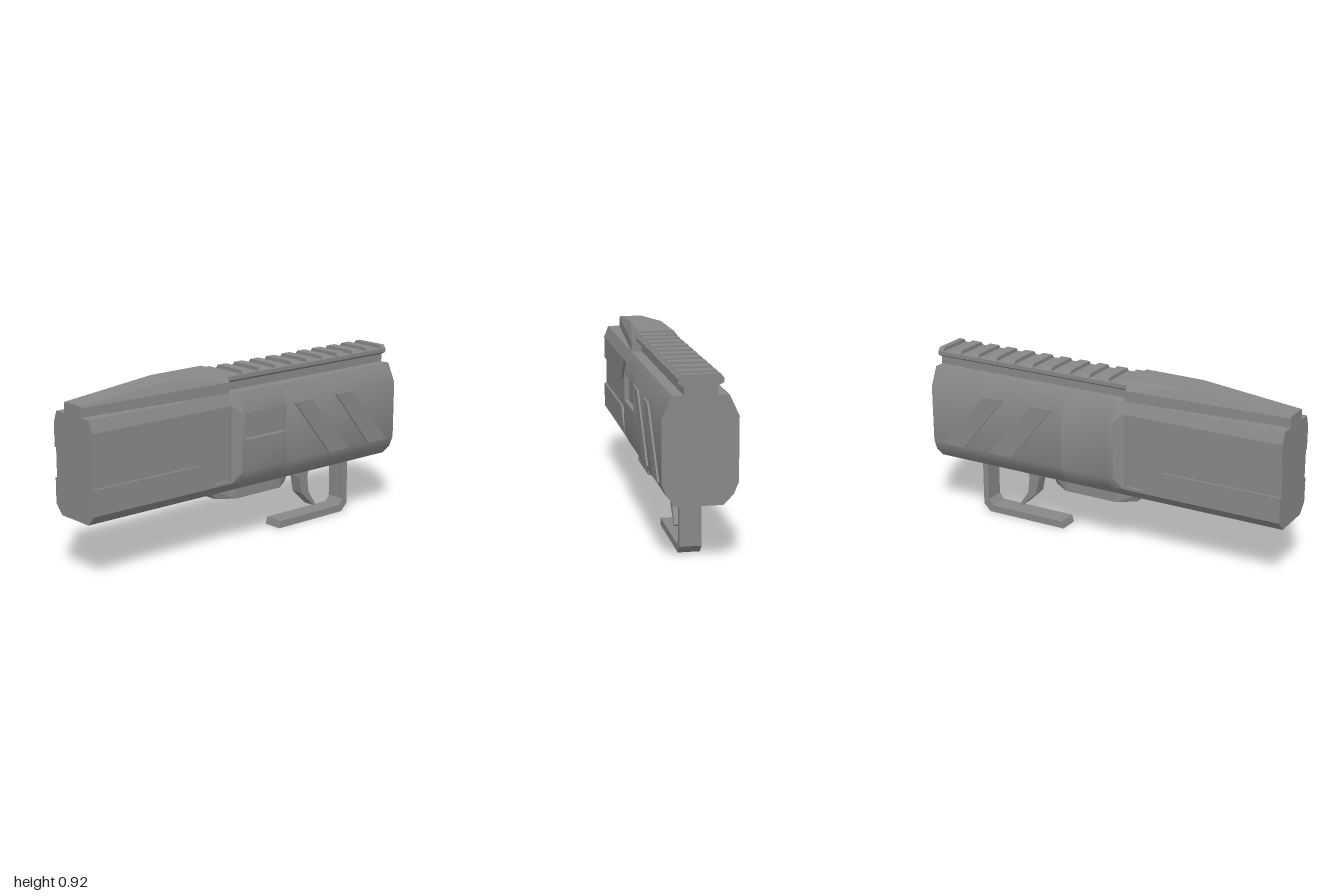
import * as THREE from 'three';
import { toCreasedNormals } from 'three/addons/utils/BufferGeometryUtils.js';
import { ConvexGeometry } from 'three/addons/geometries/ConvexGeometry.js';

const polygon = pts => new THREE.Shape(pts.map(([x, y]) => new THREE.Vector2(x, y)));

// Extrude a side outline (x, y) between two z values
function slab(pts, z0, z1) {
  return new THREE.ExtrudeGeometry(polygon(pts), { depth: z1 - z0, bevelEnabled: false }).translate(0, 0, z0);
}

// Extrude a cross-section (z, y) between two x values
function bar(pts, x0, x1) {
  const shape = polygon(pts.map(([z, y]) => [-z, y]));
  const geo = new THREE.ExtrudeGeometry(shape, { depth: x1 - x0, bevelEnabled: false });
  return geo.rotateY(Math.PI / 2).translate(x0, 0, 0);
}

// Complete a half section by mirroring it across z
const mirror = half => [...half, ...half.map(([z, y]) => [-z, y]).reverse()];

// Convex solid through several cross-sections [x, section]
function hull(stations) {
  return new ConvexGeometry(stations.flatMap(([x, s]) => s.map(([z, y]) => new THREE.Vector3(x, y, z))));
}

export function createModel() {
  const model = new THREE.Group();
  model.name = 'blaster';
  const grey = new THREE.MeshStandardMaterial({ color: 0x88888a });
  grey.name = 'gunmetal grey';
  const add = (name, geo, parent = model) => {
    const mesh = new THREE.Mesh(geo, grey);
    mesh.name = name;
    parent.add(mesh);
    return mesh;
  };

  // Rear receiver: three lengths, the middle one notched for the ejection port
  const rearHalf = [[0.107, 0.3], [0.155, 0.35], [0.177, 0.405], [0.177, 0.71], [0.13, 0.81]];
  const rear = mirror(rearHalf);
  const notched = [...rear];
  notched.splice(3, 0, [0.177, 0.57], [0.155, 0.57], [0.155, 0.705], [0.177, 0.705]);
  [[rear, -0.1, -0.08], [notched, -0.08, 0.2], [rear, 0.2, 1]].forEach(([s, a, b], i) =>
    add(['receiverFront', 'ejectionPort', 'receiverRear'][i], toCreasedNormals(bar(s, a, b), 0.7)));

  // Fore body core, with side plates around the recessed channel
  const foreHalf = [[0.107, 0.3], [0.153, 0.35], [0.153, 0.75], [0.13, 0.81]];
  const coreHalf = [[0.107, 0.3], [0.153, 0.35], [0.141, 0.35], [0.141, 0.75], [0.153, 0.75], [0.13, 0.81]];
  add('foreBody', bar(mirror(coreHalf), -1, -0.15));
  const plate = [[-1, 0.35], [-0.15, 0.35], [-0.15, 0.75], [-1, 0.75], [-1, 0.63], [-0.36, 0.63],
    [-0.26, 0.742], [-0.163, 0.742], [-0.163, 0.365], [-0.26, 0.365], [-0.36, 0.48], [-1, 0.48]];
  add('sidePlateLeft', slab(plate, 0.141, 0.153));
  add('sidePlateRight', slab(plate, -0.153, -0.141));
  add('collar', hull([[-0.15, mirror(foreHalf)], [-0.1, rear]]));

  // Tapered top cover
  add('topCover', hull([
    [-1, mirror([[0.065, 0.81], [0.065, 0.855], [0.06, 0.865]])],
    [-0.47, mirror([[0.105, 0.81], [0.105, 0.863], [0.081, 0.915]])],
    [-0.145, mirror([[0.13, 0.81], [0.13, 0.865], [0.09, 0.915]])],
  ]));

  // Accessory rail with evenly spaced teeth
  const rail = new THREE.Group();
  rail.name = 'topRail';
  model.add(rail);
  add('railBase', bar(mirror([[0.077, 0.808], [0.077, 0.85], [0.105, 0.866], [0.105, 0.886]]), -0.145, 1), rail);
  const tooth = mirror([[0.105, 0.886], [0.09, 0.905]]);
  for (let i = 0; i < 11; i++) {
    const x = -0.145 + i * 0.1115;
    add('railTooth', bar(tooth, x, Math.min(x + 0.055, 1)), rail);
  }

  // Slanted raised ribs on both sides
  for (const x of [0, 0.295]) {
    const rib = [[0.25, 0.712], [0.37, 0.712], [0.645, 0.403], [0.505, 0.403]].map(([a, b]) => [a + x, b]);
    add('ribLeft', slab(rib, 0.176, 0.186));
    add('ribRight', slab(rib, -0.186, -0.176));
  }

  // Faceted pad under the body
  const ring = (a, y) => [[a, 0.045], [0.15, 0.107], [-0.15, 0.107], [-a, 0.045]]
    .flatMap(([x, z]) => [new THREE.Vector3(x + 0.07, y, z), new THREE.Vector3(x + 0.07, y, -z)]);
  add('undersidePad', new ConvexGeometry([...ring(0.27, 0.302), ...ring(0.24, 0.248)]));

  // Trigger and its guard
  add('trigger', slab([[0.435, 0.305], [0.43, 0.25], [0.45, 0.155], [0.54, 0.07], [0.55, 0.08],
    [0.5, 0.155], [0.49, 0.24], [0.505, 0.305]], -0.035, 0.035));
  add('triggerGuard', slab([[0.27, 0], [0.735, 0], [0.775, 0.04], [0.775, 0.305], [0.743, 0.305],
    [0.743, 0.07], [0.718, 0.038], [0.28, 0.038]], -0.053, 0.053));

  return model;
}
